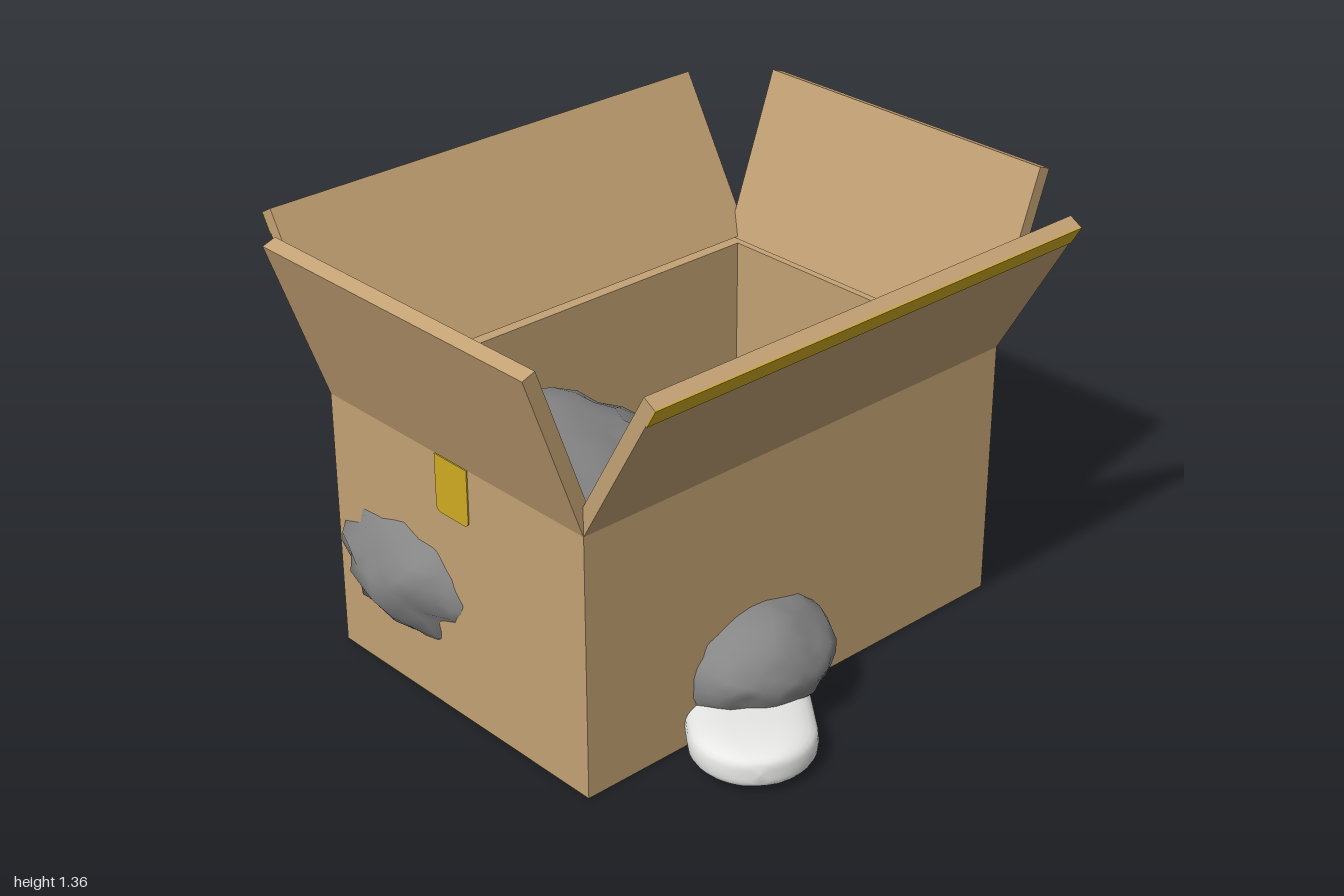
import * as THREE from 'three';
import { mergeVertices } from 'three/addons/utils/BufferGeometryUtils.js';

const mat = (name, color) => {
  const m = new THREE.MeshStandardMaterial({ color });
  m.name = name;
  return m;
};

export function createModel() {
  const cardboard = mat('cardboard', 0xc4a274);
  const tape = mat('yellow tape', 0xd2ac22);
  const white = mat('white cotton', 0xe8e8e6);
  const green = mat('green stripe', 0x6cb82a);
  const grey = mat('dark grey', 0x868686);

  const model = new THREE.Group();
  model.name = 'openBox';
  const add = (parent, name, geometry, material, x = 0, y = 0, z = 0) => {
    const mesh = new THREE.Mesh(geometry, material);
    mesh.name = name;
    mesh.position.set(x, y, z);
    parent.add(mesh);
    return mesh;
  };

  // Carton: floor, four walls and four tilted flaps
  const W = 1.62, D = 1.1, H = 0.83, T = 0.04, FLAP = 0.55, FT = 0.045;
  const carton = new THREE.Group();
  carton.name = 'carton';
  carton.position.z = -0.04;
  model.add(carton);
  add(carton, 'floor', new THREE.BoxGeometry(W, 0.03, D), cardboard, 0, 0.015, 0);

  // Tape patch with rounded lower corners
  const patch = new THREE.Shape();
  patch.moveTo(-0.07, 0);
  patch.lineTo(-0.07, -0.16);
  patch.quadraticCurveTo(-0.07, -0.18, -0.045, -0.18);
  patch.lineTo(0.045, -0.18);
  patch.quadraticCurveTo(0.07, -0.18, 0.07, -0.16);
  patch.lineTo(0.07, 0);
  const patchGeo = new THREE.ExtrudeGeometry(patch, { depth: 0.004, bevelEnabled: false });

  ['front', 'left', 'back', 'right'].forEach((name, i) => {
    const end = i % 2 === 1;
    const width = end ? D : W, out = (end ? W : D) / 2;
    const side = new THREE.Group();
    side.name = name + 'Side';
    side.rotation.y = i * Math.PI / 2;
    carton.add(side);
    add(side, 'wall', new THREE.BoxGeometry(end ? width - 2 * T : width, H, T), cardboard, 0, H / 2, out - T / 2);

    const flap = new THREE.Group();
    flap.name = name + 'Flap';
    flap.position.set(0, H, out);
    flap.rotation.x = THREE.MathUtils.degToRad(end ? 20 : 30);
    side.add(flap);
    add(flap, 'flapBoard', new THREE.BoxGeometry(width, FLAP, FT), cardboard, 0, FLAP / 2, -FT / 2);
    if (end) add(side, 'tapePatch', patchGeo, tape, 0, H, out);
    else add(flap, 'tapeStrip', new THREE.BoxGeometry(width, 0.065, 0.004), tape, 0, FLAP - 0.0325, 0.002);
  });

  // Sock: flat rounded sections swept from cuff to toe, heel bulging on the outer side
  function sock(name, points, heelAt) {
    const curve = new THREE.CatmullRomCurve3(points.map(p => new THREE.Vector3(...p)));
    const L = curve.getLength(), N = 28, TOE = 0.18;
    const stations = [[0, 0], [0, 0.8], [0.012, 0.95], [0.04, 1], [0.095, 1], [0.14, 1], [0.195, 1]]
      .map(([s, k]) => ({ s, kw: k, kh: k }));
    for (let i = 1; i <= 22; i++) stations.push({ s: 0.195 + (L - TOE - 0.195) * i / 22, kw: 1, kh: 1 });
    for (let i = 1; i <= 10; i++) {
      const a = i / 10 * Math.PI / 2;
      stations.push({ s: L - TOE * (1 - Math.sin(a)), kw: Math.cos(a), kh: Math.pow(Math.abs(Math.cos(a)), 0.45) });
    }
    const soft = v => Math.sign(v) * Math.pow(Math.abs(v), 0.65);
    const pos = [], index = [];
    const geo = new THREE.BufferGeometry();
    stations.forEach(({ s, kw, kh }, i) => {
      const u = Math.min(s / L, 1);
      const p = curve.getPointAt(u), t = curve.getTangentAt(u);
      const len = Math.hypot(t.x, t.z), nx = t.z / len, nz = -t.x / len;
      const heel = 0.07 * Math.exp(-Math.pow((s - heelAt) / 0.15, 2));
      const base = 0.165 + 0.02 * Math.min(s / 0.6, 1);
      for (let j = 0; j < N; j++) {
        const a = j / N * Math.PI * 2, c = soft(Math.cos(a));
        const w = c * kw * (base + (c > 0 ? heel : 0));
        pos.push(p.x + nx * w, p.y + soft(Math.sin(a)) * 0.066 * kh, p.z + nz * w);
        if (i === stations.length - 1) continue;
        const k = (j + 1) % N, A = i * N, B = A + N;
        index.push(A + j, A + k, B + k, A + j, B + k, B + j);
      }
      // Two green bands near the cuff
      if (i < stations.length - 1) geo.addGroup(i * N * 6, N * 6, i === 3 || i === 5 ? 1 : 0);
    });
    geo.setAttribute('position', new THREE.Float32BufferAttribute(pos, 3));
    geo.setIndex(index);
    geo.computeVertexNormals();
    add(model, name, geo, [white, green]);
  }
  sock('lowerSock', [[0.125, 0.067, -0.7], [0.125, 0.067, -0.3], [0.1, 0.067, 0.06],
    [-0.15, 0.067, 0.42], [-0.46, 0.067, 0.82]], 0.8);
  sock('upperSock', [[0.785, 0.17, -0.49], [0.42, 0.19, -0.21], [0.12, 0.195, 0.02],
    [-0.3, 0.185, 0.045], [-0.77, 0.17, 0.0]], 0.78);

  // Crumpled lumps: dented spheres with small jagged points
  function lump(name, [x, y, z], [rx, ry, rz], seed, detail) {
    let geo = new THREE.IcosahedronGeometry(1, detail);
    geo.deleteAttribute('uv');
    geo.deleteAttribute('normal');
    geo = mergeVertices(geo, 1e-4);
    const p = geo.attributes.position, v = new THREE.Vector3();
    let state = seed * 7919 + 17;
    const rnd = () => (state = (state * 16807) % 2147483647) / 2147483647;
    for (let i = 0; i < p.count; i++) {
      v.fromBufferAttribute(p, i);
      const wave = Math.sin(v.x * 4 + seed) * Math.sin(v.y * 5 + seed * 2) * Math.sin(v.z * 4.5 + seed * 3);
      v.multiplyScalar(0.98 + 0.05 * wave + (rnd() - 0.5) * 0.075);
      p.setXYZ(i, v.x * rx, Math.max(v.y * ry, 0.012 - y), v.z * rz);
    }
    geo.computeVertexNormals();
    add(model, name, geo, grey, x, y, z);
  }
  lump('bigLump', [-0.36, 0.36, -0.3], [0.55, 0.335, 0.485], 3, 6);
  lump('sideLump', [0.59, 0.19, 0.03], [0.335, 0.21, 0.345], 5, 6);
  lump('frontLump', [-0.17, 0.18, 0.47], [0.265, 0.18, 0.24], 8, 5);

  return model;
}
